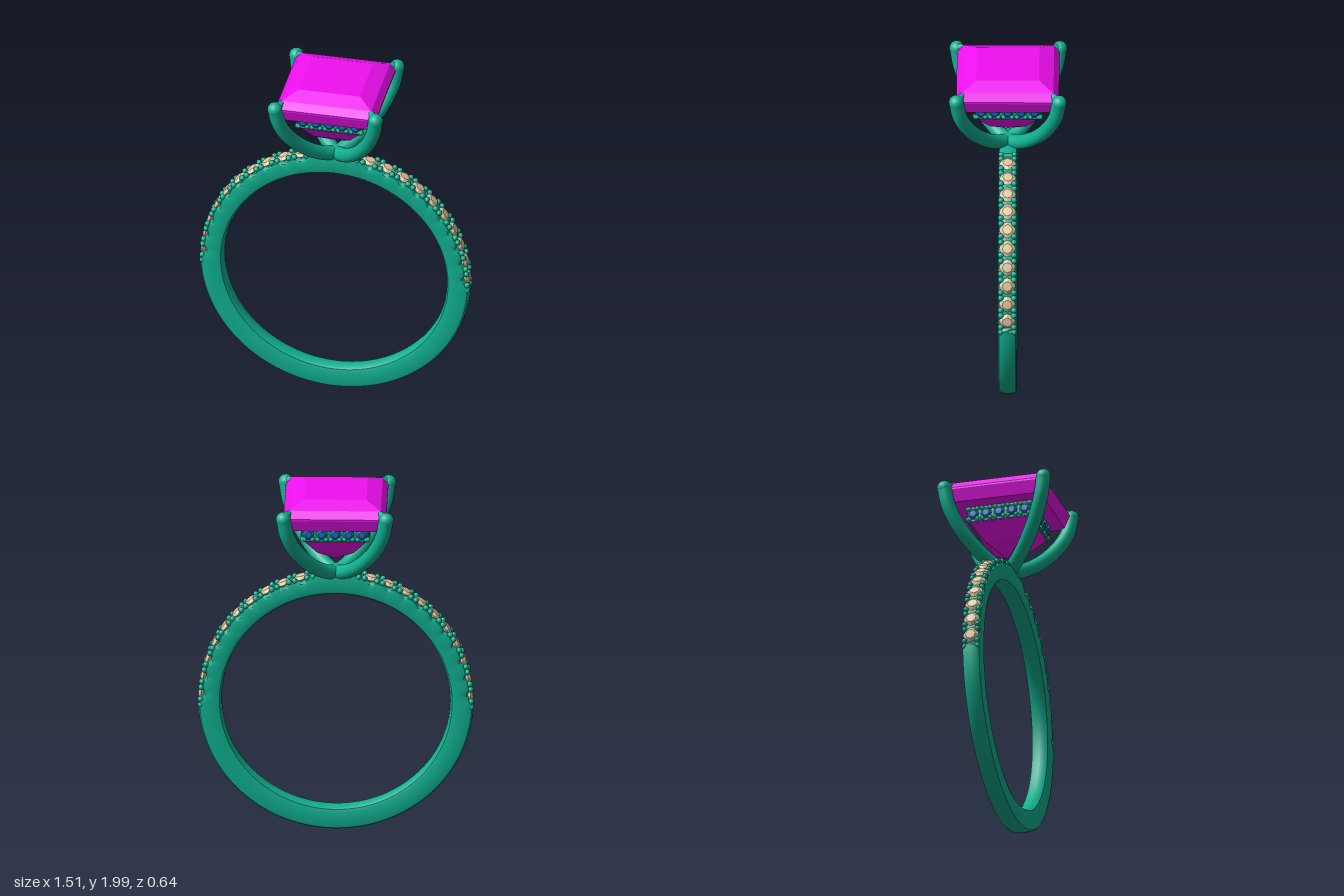
import * as THREE from 'three';
import { mergeGeometries, toCreasedNormals } from 'three/addons/utils/BufferGeometryUtils.js';

const V2 = (x, y) => new THREE.Vector2(x, y);
const V3 = (x, y, z) => new THREE.Vector3(x, y, z);
const UP = V3(0, 1, 0);
const CY = 0.762;                  // ring centre height
const STEP = 8, FIRST = 3, STONES = 10; // band stone spacing in degrees
const rad = THREE.MathUtils.degToRad;

const metal = new THREE.MeshStandardMaterial({ color: 0x10b090 });
const gemMat = new THREE.MeshStandardMaterial({ color: 0xf010f0, flatShading: true });
const tanMat = new THREE.MeshStandardMaterial({ color: 0xdcc8a0, flatShading: true });
const blueMat = new THREE.MeshStandardMaterial({ color: 0x1070c0, flatShading: true });

function part(name, geo, mat) {
  const m = new THREE.Mesh(geo, mat);
  m.name = name;
  return m;
}

// Copy of a geometry moved to pos with its y axis along dir
function placed(geo, pos, dir = UP) {
  const q = new THREE.Quaternion().setFromUnitVectors(UP, dir.clone().normalize());
  return geo.clone().applyMatrix4(new THREE.Matrix4().compose(pos, q, V3(1, 1, 1)));
}

// Small round faceted stone
const stone = (r) => new THREE.LatheGeometry(
  [V2(0, -0.7 * r), V2(r, 0), V2(0.6 * r, 0.3 * r), V2(0, 0.32 * r)], 8);

// Band with a lowered, scalloped surface where the stones sit
function bandGeometry() {
  const half = [V2(0.742, 0.046), V2(0.728, 0.05), V2(0.655, 0.05), V2(0.635, 0.044), V2(0.625, 0.028)];
  const profile = [V2(0.752, 0), V2(0.75, 0.034), ...half, V2(0.622, 0),
    ...half.map((p) => V2(p.x, -p.y)).reverse(), V2(0.75, -0.034), V2(0.752, 0)];
  const geo = new THREE.LatheGeometry(profile, 360);
  geo.rotateX(Math.PI / 2);
  const p = geo.attributes.position;
  for (let i = 0; i < p.count; i++) {
    const x = p.getX(i), y = p.getY(i), r = Math.hypot(x, y);
    if (r < 0.7) continue;
    const a = THREE.MathUtils.radToDeg(Math.atan2(y, Math.abs(x)));
    const t = (a - FIRST) / STEP;
    if (t < -0.5 || t > STONES - 0.5) continue;
    const k = (r - 0.014 - 0.018 * Math.cos(t * Math.PI) ** 4) / r;
    p.setXY(i, x * k, y * k);
  }
  geo.translate(0, CY, 0);
  return toCreasedNormals(geo, 0.7);
}

// Stones and holding beads along both shoulders of the band
function bandSetting() {
  const stones = [], beads = [];
  const gem = stone(0.046), bead = new THREE.SphereGeometry(0.016, 10, 8);
  const at = (deg, r, z, s) => V3(s * r * Math.cos(rad(deg)), CY + r * Math.sin(rad(deg)), z);
  for (const s of [-1, 1]) {
    for (let i = 0; i <= STONES; i++) {
      const a = FIRST + i * STEP;
      if (i < STONES) stones.push(placed(gem, at(a, 0.736, 0, s), at(a, 1, 0, s).sub(V3(0, CY, 0))));
      for (const z of [-0.036, 0.036]) for (const d of [-1.25, 1.25])
        beads.push(placed(bead, at(a - STEP / 2 + d, 0.739, z, s)));
    }
  }
  return [mergeGeometries(stones), mergeGeometries(beads)];
}

// Square gem: half widths and heights from point to table
function centreGem() {
  const rows = [[0, 1.585], [0.1, 1.658], [0.17, 1.75], [0.17, 1.838], [0.255, 1.844],
    [0.28, 1.912], [0.28, 1.922], [0.25, 1.962], [0.17, 1.997], [0, 2]];
  return new THREE.LatheGeometry(rows.map(([w, y]) => V2(w * Math.SQRT2, y)), 4, Math.PI / 4);
}

// Square frame under the gem with stones and beads on all four sides
function halo() {
  const g = new THREE.Group();
  g.name = 'halo';
  const square = (w) => [V2(-w, -w), V2(w, -w), V2(w, w), V2(-w, w)];
  const shape = new THREE.Shape(square(0.178));
  shape.holes.push(new THREE.Path(square(0.14)));
  const frame = new THREE.ExtrudeGeometry(shape, { depth: 0.086, bevelEnabled: false });
  frame.rotateX(-Math.PI / 2).translate(0, 1.752, 0);

  const stones = [], beads = [];
  const gem = stone(0.032), bead = new THREE.SphereGeometry(0.0135, 8, 6);
  for (let side = 0; side < 4; side++) {
    const turn = (x, y, z) => V3(x, y, z).applyAxisAngle(UP, side * Math.PI / 2);
    for (let i = 0; i < 6; i++) {
      const x = (i - 2) * 0.073;
      if (i < 5) stones.push(placed(gem, turn(x, 1.795, 0.178), turn(0, 0, 1)));
      for (const y of [1.766, 1.826]) for (const d of [-0.014, 0.014]) {
        const bx = THREE.MathUtils.clamp(x - 0.0365 + d, -0.178, 0.178);
        beads.push(placed(bead, turn(bx, y, 0.178)));
      }
    }
  }
  g.add(part('haloFrame', frame, metal));
  g.add(part('haloStones', mergeGeometries(stones), blueMat));
  g.add(part('haloBeads', mergeGeometries(beads), metal));
  return g;
}

// Curved claw rising to one corner, with a rounded end pointing over the gem
function prong(sx, sz) {
  const pts = [[0.005, 1.505], [0.07, 1.54], [0.145, 1.61], [0.215, 1.71], [0.262, 1.82], [0.281, 1.923]];
  const curve = new THREE.CatmullRomCurve3(pts.map(([d, y]) => V3(sx * d, y, sz * d)));
  const end = V3(sx * 0.281, 1.923, sz * 0.281);
  const apex = V3(sx * 0.225, 1.967, sz * 0.225);
  const dir = apex.clone().sub(end);
  const tip = new THREE.ConeGeometry(0.035, dir.length(), 20);
  const g = new THREE.Group();
  g.name = 'prong';
  g.add(part('prongArm', new THREE.TubeGeometry(curve, 32, 0.04, 16), metal));
  g.add(part('prongEnd', new THREE.SphereGeometry(0.041, 20, 14).translate(end.x, end.y, end.z), metal));
  g.add(part('prongTip', placed(tip, end.clone().lerp(apex, 0.5), dir), metal));
  return g;
}

export function createModel() {
  const model = new THREE.Group();
  model.name = 'ring';
  model.add(part('band', bandGeometry(), metal));

  const [stones, beads] = bandSetting();
  model.add(part('bandStones', stones, tanMat), part('bandBeads', beads, metal));

  model.add(part('centreGem', centreGem(), gemMat));
  model.add(halo());

  for (const sx of [-1, 1]) for (const sz of [-1, 1]) model.add(prong(sx, sz));
  // Rounded joint where the prongs meet the band
  model.add(part('headBase', new THREE.SphereGeometry(0.046, 20, 14).translate(0, 1.505, 0), metal));
  return model;
}
